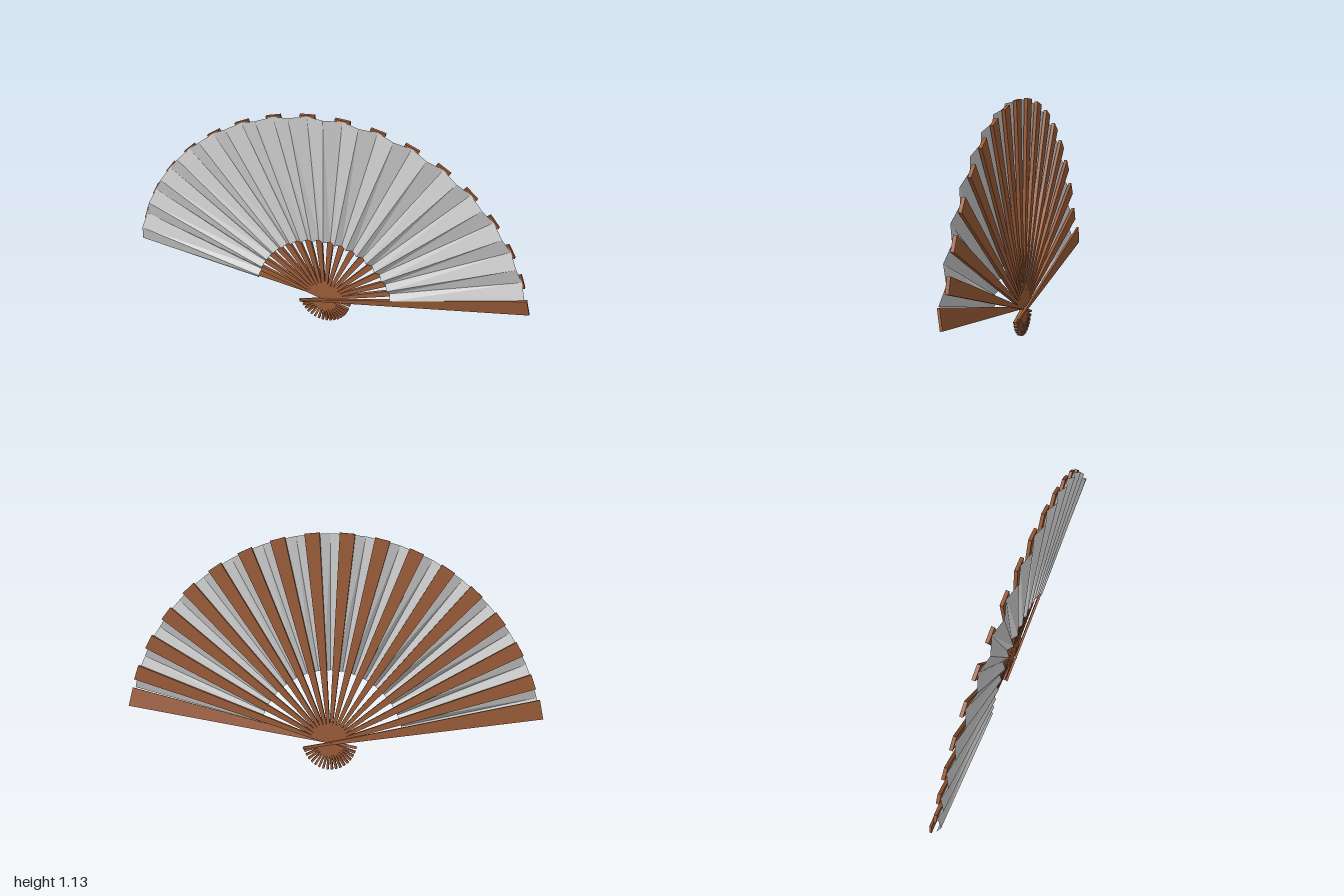
import * as THREE from 'three';

const PIVOT_Y = 0.13;
const PITCH = 9.5; // degrees per full pleat
const INNER = 0.35;
const OUTER = 1.0;
const RIDGE_Z = 0.027;
const VALLEY_Z = 0.003;
const rad = THREE.MathUtils.degToRad;

// Tapered slat along +x, running through the pivot into a short tail
function slatGeometry(length, tipWidth, pivotWidth, tailWidth, thickness) {
  const s = new THREE.Shape();
  s.moveTo(-0.13, -tailWidth / 2);
  s.lineTo(0, -pivotWidth / 2);
  s.lineTo(length, -tipWidth / 2);
  s.lineTo(length, tipWidth / 2);
  s.lineTo(0, pivotWidth / 2);
  s.lineTo(-0.13, tailWidth / 2);
  s.closePath();
  const g = new THREE.ExtrudeGeometry(s, { depth: thickness, bevelEnabled: false });
  return g.translate(0, 0, -thickness / 2);
}

// Pleated leaf: alternating ridges and valleys between two radii
function leafGeometry(startDeg, folds) {
  const pos = [];
  const point = (i, r) => {
    const a = rad(startDeg + (i * PITCH) / 2);
    return [r * Math.cos(a), r * Math.sin(a), i % 2 ? VALLEY_Z : RIDGE_Z];
  };
  for (let i = 0; i < folds; i++) {
    const a = point(i, INNER), b = point(i, OUTER);
    const c = point(i + 1, OUTER), d = point(i + 1, INNER);
    pos.push(...a, ...b, ...c, ...a, ...c, ...d);
  }
  const g = new THREE.BufferGeometry();
  g.setAttribute('position', new THREE.Float32BufferAttribute(pos, 3));
  g.computeVertexNormals();
  return g;
}

export function createModel() {
  const fan = new THREE.Group();
  fan.name = 'foldingFan';
  fan.position.y = PIVOT_Y;

  const wood = new THREE.MeshStandardMaterial({ color: 0x9a5b38, flatShading: true });
  const paper = new THREE.MeshStandardMaterial({
    color: 0xcccccc, flatShading: true, side: THREE.DoubleSide,
  });
  const add = (name, geometry, material) => {
    const mesh = new THREE.Mesh(geometry, material);
    mesh.name = name;
    fan.add(mesh);
    return mesh;
  };

  // Pleated leaf, from the front guard to the back guard
  add('leaf', leafGeometry(90 - 8 * PITCH, 33), paper);

  // Inner ribs, one behind each valley
  const ribGeometry = slatGeometry(1.005, 0.072, 0.009, 0.011, 0.016);
  for (let i = 0; i < 16; i++) {
    const rib = add('rib', ribGeometry, wood);
    rib.position.z = -0.005;
    rib.rotation.z = rad(90 + (i - 7.5) * PITCH);
  }

  // Front guard follows the slope of the last pleat on the left
  const guardGeometry = slatGeometry(1.01, 0.092, 0.014, 0.012, 0.011);
  const tilted = guardGeometry.clone().rotateX(0.2);
  const frontGuard = add('frontGuard', tilted, wood);
  frontGuard.position.z = 0.014;
  frontGuard.rotation.z = rad(11.2);

  // Back guard lies flat behind the last pleat on the right
  const backGuard = add('backGuard', guardGeometry, wood);
  backGuard.position.z = -0.022;
  backGuard.rotation.z = rad(168.8);

  // Pivot pin through all slats
  const pin = add('pivotPin', new THREE.CylinderGeometry(0.008, 0.008, 0.048, 12), wood);
  pin.rotation.x = Math.PI / 2;
  pin.position.z = -0.004;

  const model = new THREE.Group();
  model.add(fan);
  return model;
}
